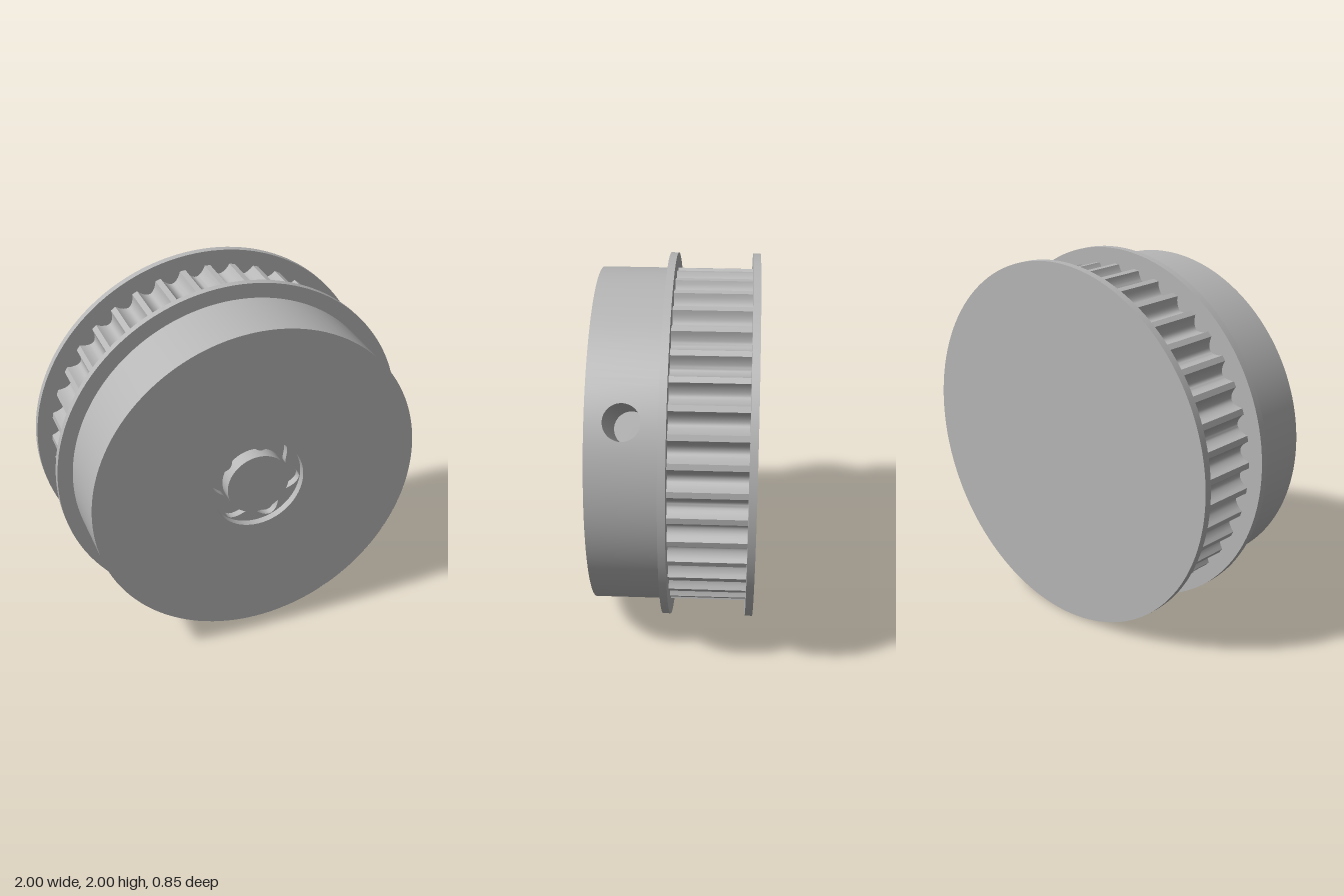
import * as THREE from 'three';
import { toCreasedNormals } from 'three/addons/utils/BufferGeometryUtils.js';

const R = 0.917;                  // hub and tooth radius
const HUB_BACK = 0.058, HUB_FRONT = 0.427;
const HOLE_R = 0.095, HOLE_Z = (HUB_BACK + HUB_FRONT) / 2;
const HOLE_ANGLES = [Math.PI / 6, -Math.PI / 3];
const WINDOW = 0.2;               // half angle of the wall patch around a hole

export function createModel() {
  const metal = new THREE.MeshStandardMaterial({ color: 0xb6b6b6, side: THREE.DoubleSide });
  const model = new THREE.Group();
  model.name = 'timingPulley';
  const wheel = new THREE.Group();
  wheel.name = 'wheel';
  wheel.position.y = 1;
  model.add(wheel);

  const add = (name, geometry, z = 0) => {
    const mesh = new THREE.Mesh(geometry, metal);
    mesh.name = name;
    mesh.position.z = z;
    wheel.add(mesh);
    return mesh;
  };
  // Cylinder along z between two depths
  const rod = (name, r, z0, z1, open = false, start = 0, sweep = Math.PI * 2, segs = 128) =>
    add(name, new THREE.CylinderGeometry(r, r, z1 - z0, segs, 1, open, start, sweep).rotateX(Math.PI / 2), (z0 + z1) / 2);

  // Flanges
  rod('frontFlange', 1, 0.018, HUB_BACK);
  rod('backFlange', 1, -HUB_FRONT, -0.387);

  // Toothed belt track with rounded grooves
  const teeth = 40, pitch = Math.PI * 2 / teeth, steps = 12, half = 0.39;
  const outline = [];
  for (let i = 0; i < teeth; i++) {
    const middle = (i + 0.5) * pitch - 0.021;
    for (let j = 0; j <= steps; j++) {
      const f = j / steps * 2 - 1;
      const r = R - 0.055 * Math.pow(Math.max(0, Math.cos(f * Math.PI / 2)), 0.75);
      const a = middle + f * half * pitch;
      outline.push(new THREE.Vector2(r * Math.cos(a), r * Math.sin(a)));
    }
  }
  const track = new THREE.ExtrudeGeometry(new THREE.Shape(outline), { depth: 0.405, bevelEnabled: false });
  add('toothedTrack', toCreasedNormals(track, 0.6), -0.387);

  // Hub wall arcs between the set screw windows (cylinder angle = a + 90 degrees after tipping)
  const arc = (from, to) => rod('hubWall', R, HUB_BACK, HUB_FRONT, true, from + Math.PI / 2, to - from, 96);
  arc(HOLE_ANGLES[1] + WINDOW, HOLE_ANGLES[0] - WINDOW);
  arc(HOLE_ANGLES[0] + WINDOW, HOLE_ANGLES[1] - WINDOW + Math.PI * 2);

  // Set screw holes: curved wall patch, bore and bottom
  for (const angle of HOLE_ANGLES) {
    add('screwHoleSurround', holePatch(angle));
    add('screwHoleBore', holeBore(angle));
    const end = add('screwHoleEnd', new THREE.CircleGeometry(HOLE_R, 48).rotateY(Math.PI / 2), HOLE_Z);
    end.rotation.z = angle;
    end.position.x = 0.3 * Math.cos(angle);
    end.position.y = 0.3 * Math.sin(angle);
  }

  // Hub front face and centre socket
  add('hubFace', new THREE.RingGeometry(0.26, R, 128, 1), HUB_FRONT);
  rod('socketWall', 0.26, HUB_FRONT - 0.08, HUB_FRONT, true);
  const shelf = new THREE.Shape().absarc(0, 0, 0.26, 0, Math.PI * 2);
  const lobes = [];
  for (let i = 0; i < 96; i++) {
    const a = i / 96 * Math.PI * 2;
    const r = 0.221 + 0.035 * Math.cos(6 * (a - 0.9));
    lobes.push(new THREE.Vector2(r * Math.cos(a), r * Math.sin(a)));
  }
  shelf.holes.push(new THREE.Path(lobes));
  const shelfGeometry = new THREE.ExtrudeGeometry(shelf, { depth: 0.04, bevelEnabled: false, curveSegments: 48 });
  add('lobedSocket', toCreasedNormals(shelfGeometry, 0.6), HUB_FRONT - 0.08);
  add('socketFloor', new THREE.CircleGeometry(0.26, 64), HUB_FRONT - 0.08);
  rod('centrePin', 0.175, HUB_FRONT - 0.08, HUB_FRONT - 0.001);

  return model;
}

// Builds a lofted surface from rows of point/normal pairs, closed around
function loft(rows, cols, at) {
  const positions = [], normals = [], index = [];
  for (let k = 0; k <= rows; k++) {
    for (let i = 0; i <= cols; i++) {
      const { p, n } = at(k / rows, i / cols * Math.PI * 2);
      positions.push(...p);
      normals.push(...n);
      if (k < rows && i < cols) {
        const a = k * (cols + 1) + i, b = a + cols + 1;
        index.push(a, b, a + 1, b, b + 1, a + 1);
      }
    }
  }
  const g = new THREE.BufferGeometry();
  g.setAttribute('position', new THREE.Float32BufferAttribute(positions, 3));
  g.setAttribute('normal', new THREE.Float32BufferAttribute(normals, 3));
  g.setIndex(index);
  return g;
}

// Cylinder wall between the round hole and its rectangular window
function holePatch(angle) {
  return loft(5, 48, (t, phi) => {
    const c = Math.cos(phi), s = Math.sin(phi), m = Math.max(Math.abs(c), Math.abs(s));
    const a = angle + THREE.MathUtils.lerp(Math.asin(HOLE_R * c / R), WINDOW * c / m, t);
    const z = HOLE_Z + THREE.MathUtils.lerp(HOLE_R * s, (HUB_FRONT - HOLE_Z) * s / m, t);
    return { p: [R * Math.cos(a), R * Math.sin(a), z], n: [Math.cos(a), Math.sin(a), 0] };
  });
}

// Inside of the radial hole, facing its axis
function holeBore(angle) {
  const ca = Math.cos(angle), sa = Math.sin(angle);
  return loft(1, 48, (t, phi) => {
    const c = Math.cos(phi), s = Math.sin(phi), side = HOLE_R * c;
    const d = THREE.MathUtils.lerp(0.3, Math.sqrt(R * R - side * side), t);
    return { p: [d * ca - side * sa, d * sa + side * ca, HOLE_Z + HOLE_R * s], n: [c * sa, -c * ca, -s] };
  });
}
